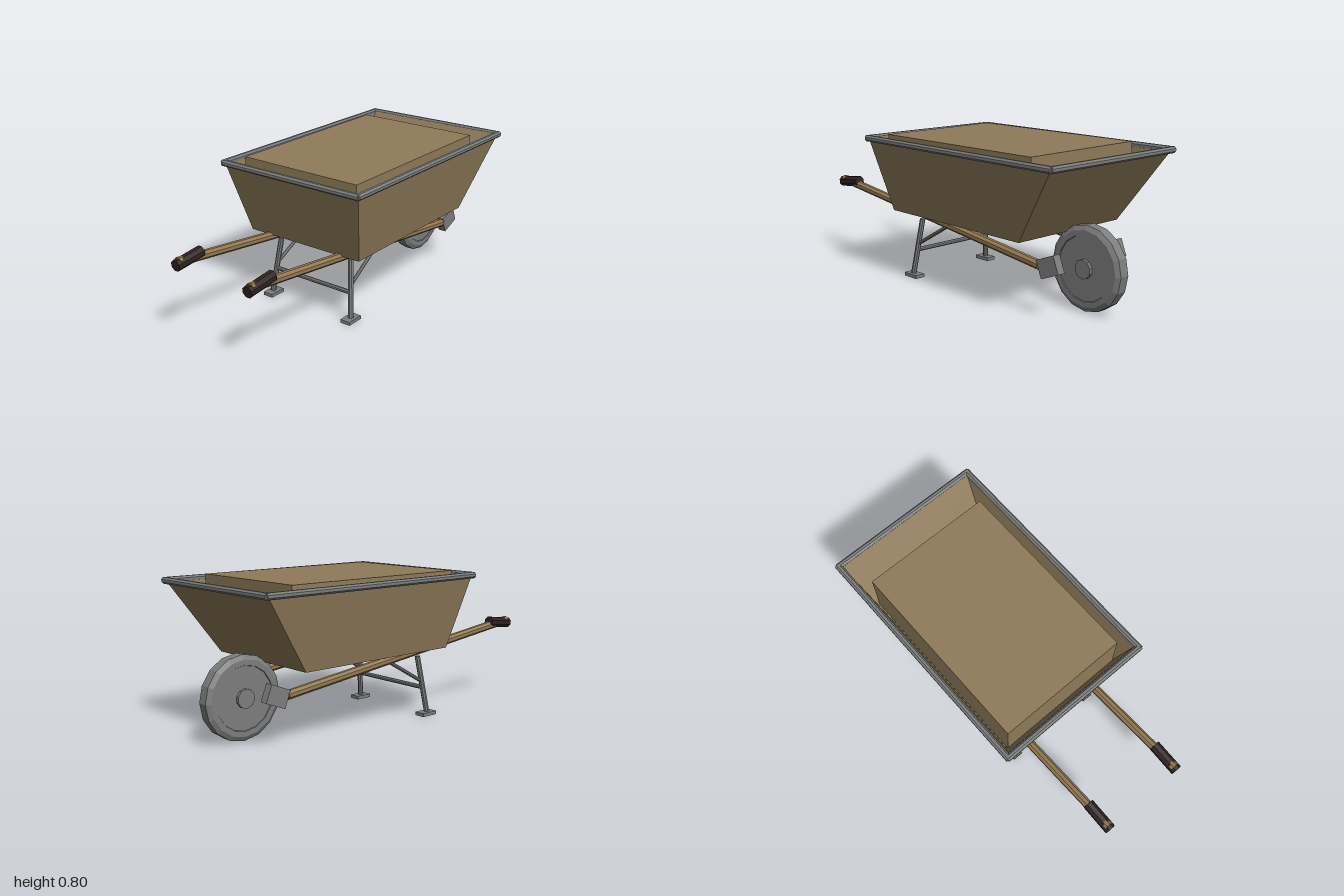
import * as THREE from 'three';

const mat = (name, color) => {
  const m = new THREE.MeshStandardMaterial({ color });
  m.name = name;
  m.flatShading = true;
  return m;
};

export function createModel() {
  const model = new THREE.Group();
  model.name = 'wheelbarrow';
  const tan = mat('tan tray', 0x8f7b5a);
  const wood = mat('handle wood', 0x957b53);
  const steel = mat('grey steel', 0x7c7e7d);
  const dark = mat('dark grip', 0x2f2221);

  const add = (name, geometry, material, x = 0, y = 0, z = 0) => {
    const mesh = new THREE.Mesh(geometry, material);
    mesh.name = name;
    mesh.position.set(x, y, z);
    model.add(mesh);
    return mesh;
  };

  // Straight rod between two points
  const rod = (name, a, b, r, material, sides = 8) => {
    const p = new THREE.Vector3(...a), q = new THREE.Vector3(...b);
    const dir = q.clone().sub(p);
    const geo = new THREE.CylinderGeometry(r, r, dir.length(), sides);
    geo.rotateY(Math.PI / sides);
    const mesh = add(name, geo, material);
    mesh.position.copy(p).add(q).multiplyScalar(0.5);
    mesh.quaternion.setFromUnitVectors(new THREE.Vector3(0, 1, 0), dir.normalize());
    return mesh;
  };

  // Tray: rectangular sections [halfWidth, y, zBack, zFront] up the outside, then down the inside
  const sections = [
    [0.36, 0.388, -0.65, 0.32],
    [0.438, 0.785, -0.925, 0.432],
    [0.424, 0.785, -0.908, 0.418],
    [0.35, 0.402, -0.638, 0.308],
  ];
  const pos = [], index = [];
  for (const [w, y, z0, z1] of sections) pos.push(-w, y, z0, -w, y, z1, w, y, z1, w, y, z0);
  for (let s = 0; s < 3; s++) {
    for (let i = 0; i < 4; i++) {
      const a = s * 4 + i, b = s * 4 + (i + 1) % 4;
      index.push(a, b, b + 4, a, b + 4, a + 4);
    }
  }
  index.push(0, 2, 1, 0, 3, 2, 12, 13, 14, 12, 14, 15);
  let tray = new THREE.BufferGeometry();
  tray.setAttribute('position', new THREE.Float32BufferAttribute(pos, 3));
  tray.setIndex(index);
  tray = tray.toNonIndexed();
  tray.computeVertexNormals();
  add('tray', tray, tan);

  // Load filling the tray
  const load = add('load', new THREE.BoxGeometry(0.73, 0.29, 1.08), tan, 0, 0.661, -0.19);
  load.rotation.set(0.003, 0, -0.004);

  // Rim around the tray
  const rx = 0.438, rb = -0.925, rf = 0.436, ry = 0.78;
  for (const s of [-1, 1]) rod('rimSide', [s * rx, ry, rb - 0.008], [s * rx, ry, rf + 0.008], 0.018, steel);
  for (const z of [rb, rf]) rod('rimEnd', [-rx - 0.008, ry, z], [rx + 0.008, ry, z], 0.018, steel);

  // Handles, axle brackets and legs on both sides
  for (const s of [-1, 1]) {
    const x = s * 0.235;
    rod('handle', [x, 0.458, 0.98], [x, 0.26, -0.67], 0.024, wood);
    rod('grip', [x, 0.442, 0.995], [x, 0.462, 0.825], 0.031, dark);
    const bracket = add('axleBracket', new THREE.BoxGeometry(0.045, 0.095, 0.12), steel, s * 0.23, 0.265, -0.733);
    bracket.rotation.x = 0.38;
    rod('leg', [s * 0.237, 0.335, 0.225], [s * 0.272, 0.025, 0.267], 0.015, steel);
    add('foot', new THREE.BoxGeometry(0.06, 0.019, 0.1), steel, s * 0.269, 0.014, 0.265);
    rod('brace', [s * 0.25, 0.2, 0.235], [s * 0.235, 0.395, -0.1], 0.01, steel);
  }
  rod('crossbar', [-0.25, 0.16, 0.25], [0.25, 0.16, 0.25], 0.012, steel);

  // Wheel with bevelled tread, raised side discs and hub
  const profile = [[0, -0.037], [0.165, -0.037], [0.167, -0.041], [0.195, -0.041], [0.219, -0.027],
    [0.219, 0.027], [0.195, 0.041], [0.167, 0.041], [0.165, 0.037], [0, 0.037]];
  const tyre = new THREE.LatheGeometry(profile.map(([r, h]) => new THREE.Vector2(r, h)), 16);
  tyre.rotateZ(Math.PI / 2);
  add('wheel', tyre, steel, 0, 0.226, -0.78);
  rod('hub', [-0.053, 0.226, -0.78], [0.053, 0.226, -0.78], 0.05, steel, 10);

  return model;
}
